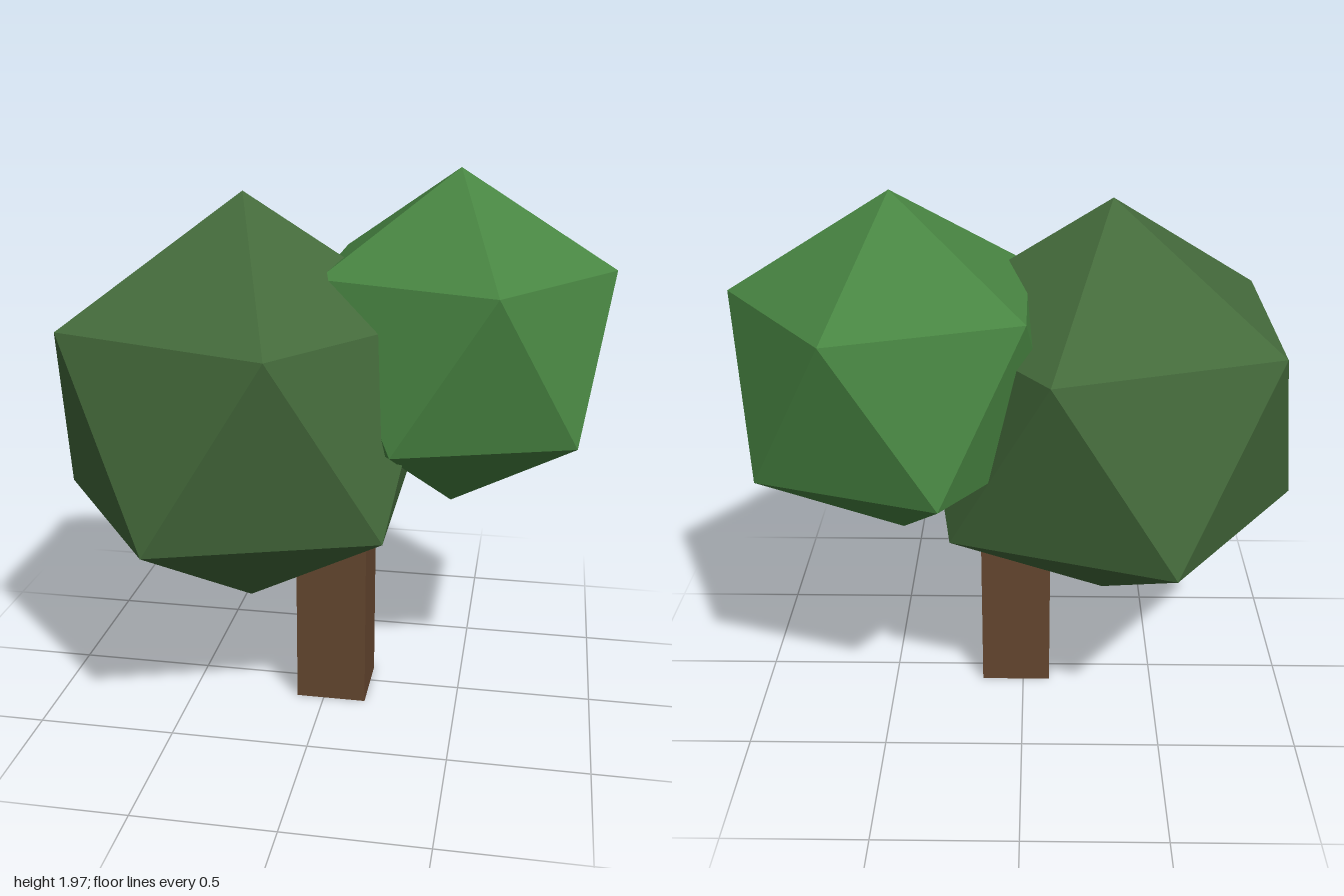
import * as THREE from 'three';

export function createModel() {
  const tree = new THREE.Group();
  tree.name = 'tree';

  const flat = (name, color) => {
    const material = new THREE.MeshStandardMaterial({ color, flatShading: true });
    material.name = name;
    return material;
  };
  const bark = flat('bark brown', 0x65472f);
  const darkLeaf = flat('dark leaf green', 0x446a3b);
  const brightLeaf = flat('bright leaf green', 0x488542);

  function add(name, geometry, material, x, y, z) {
    const mesh = new THREE.Mesh(geometry, material);
    mesh.name = name;
    mesh.position.set(x, y, z);
    tree.add(mesh);
  }

  // Icosahedron tilted to stand on a corner, one upper-ring corner toward +x
  const tilt = Math.atan(2 / (1 + Math.sqrt(5)));
  const foliage = (radius) => new THREE.IcosahedronGeometry(radius, 0).rotateZ(-tilt);

  // Square trunk
  add('trunk', new THREE.BoxGeometry(0.26, 0.65, 0.26), bark, 0.028, 0.325, 0.03);

  // Two overlapping clumps of leaves
  add('largeFoliage', foliage(0.775), darkLeaf, -0.307, 1.125, 0.03);
  add('smallFoliage', foliage(0.626), brightLeaf, 0.437, 1.347, -0.158);

  return tree;
}
